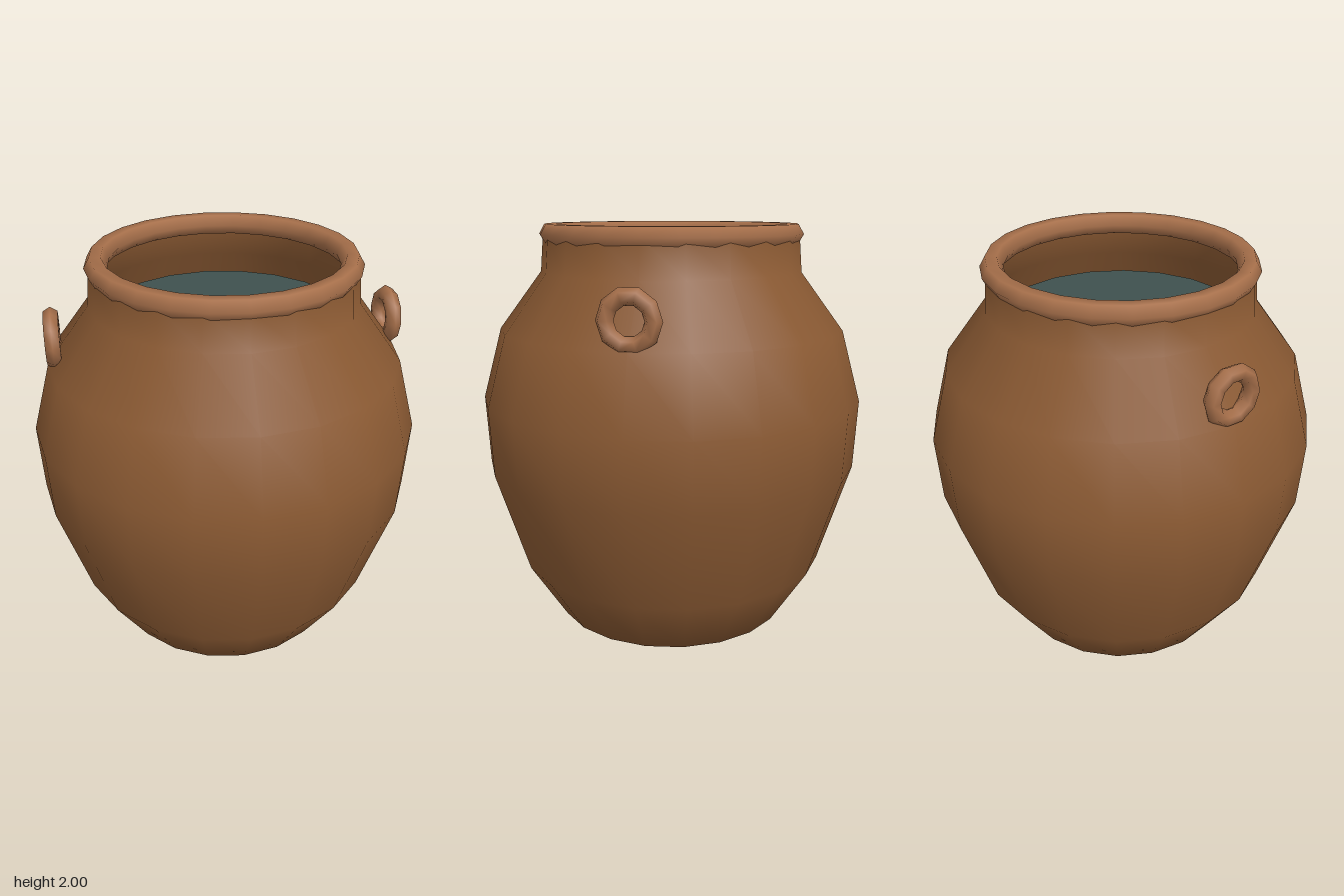
import * as THREE from 'three';

const mat = (color, side = THREE.FrontSide) => new THREE.MeshStandardMaterial({ color, side });

export function createModel() {
  const group = new THREE.Group();
  const add = (name, geometry, material) => {
    const mesh = new THREE.Mesh(geometry, material);
    mesh.name = name;
    group.add(mesh);
    return mesh;
  };
  const clay = mat(0x8b5a33, THREE.DoubleSide);
  const trim = mat(0xa66f4a);

  // Thin clay wall with closed base, open at the neck
  const profile = [
    [0, 0], [0.595, 0], [0.78, 0.29], [0.94, 0.8], [0.957, 1.14],
    [0.86, 1.49], [0.65, 1.77], [0.635, 1.95],
  ].map(([r, y]) => new THREE.Vector2(r, y));
  add('potBody', new THREE.LatheGeometry(profile, 20), clay);

  // Rolled rim around the mouth
  const rim = add('rim', new THREE.TorusGeometry(0.6, 0.055, 6, 24).rotateX(Math.PI / 2), trim);
  rim.position.y = 1.952;

  // Liquid surface just below the neck
  const liquid = add('liquid', new THREE.CircleGeometry(0.62, 20).rotateX(-Math.PI / 2),
    mat(0x3f514f, THREE.DoubleSide));
  liquid.position.y = 1.68;

  // Ring handles on both shoulders
  for (const [side, name] of [[1, 'leftHandle'], [-1, 'rightHandle']]) {
    const handle = add(name, new THREE.TorusGeometry(0.107, 0.04, 6, 10).rotateY(Math.PI / 2), trim);
    handle.position.set(side * 0.826, 1.62, 0);
  }
  return group;
}
